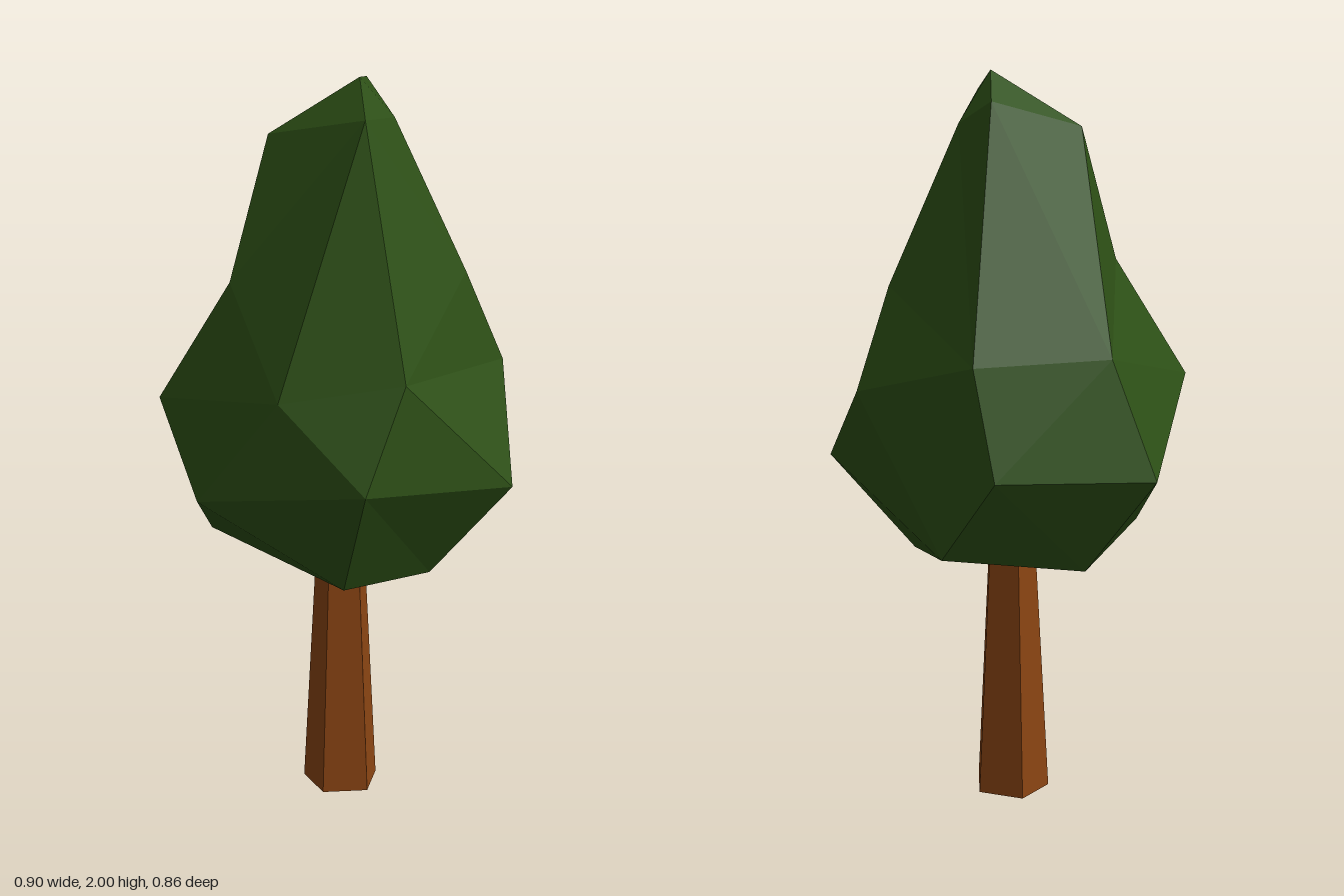
import * as THREE from 'three';

// Crown cross-sections from top to bottom, each running from +x towards +z
const apex = [0.07, 2, 0.015];
const tip = [[0.165, 1.87, -0.01], [0.075, 1.915, 0.105], [-0.165, 1.83, -0.03], [0.1, 1.955, -0.09]];
const shoulder = [[0.35, 1.43, 0.005], [0.155, 1.26, 0.345], [-0.175, 1.2, 0.29],
  [-0.27, 1.43, 0.01], [-0.15, 1.3, -0.35], [0.23, 1.32, -0.35]];
const belly = [[0.45, 1.16, -0.035], [0.45, 0.895, 0.195], [0.04, 0.98, 0.425], [-0.375, 0.89, 0.19],
  [-0.45, 1.1, -0.02], [-0.25, 0.97, -0.42], [0.195, 1.02, -0.43]];
const base = [[0.3, 0.77, -0.3], [0.24, 0.635, 0.13], [0, 0.655, 0.27], [-0.31, 0.715, -0.04], [-0.1, 0.68, -0.27]];

// Joins two rings; each step moves on along the upper (u) or lower (l) ring
function stitch(upper, lower, steps) {
  const faces = [];
  let i = 0, j = 0;
  for (const step of steps) {
    const p = upper[i % upper.length], q = lower[j % lower.length];
    if (step === 'u') faces.push(p, upper[++i % upper.length], q);
    else faces.push(p, lower[++j % lower.length], q);
  }
  return faces;
}

function createCrown() {
  const corners = [
    ...stitch(tip, shoulder, 'ulllululul'),
    ...stitch(shoulder, belly, 'ullulluullulu'),
    ...stitch(belly, base, 'ulululuululu'),
  ];
  // Close the top with a fan around the apex, and the underside with a flat fan
  tip.forEach((p, i) => corners.push(apex, tip[(i + 1) % tip.length], p));
  for (let i = 1; i < base.length - 1; i++) corners.push(base[0], base[i], base[i + 1]);

  const geometry = new THREE.BufferGeometry();
  geometry.setAttribute('position', new THREE.Float32BufferAttribute(corners.flat(), 3));
  geometry.computeVertexNormals();
  const crown = new THREE.Mesh(geometry, new THREE.MeshStandardMaterial({ color: 0x2d5016, flatShading: true }));
  crown.name = 'crown';
  return crown;
}

// Five-sided tapering trunk, its top hidden inside the crown
function createTrunk() {
  const height = 0.75;
  const geometry = new THREE.CylinderGeometry(0.061, 0.098, height, 5, 1, false, Math.PI);
  geometry.scale(1, 1, 1.13);
  geometry.translate(0, height / 2, 0);
  const trunk = new THREE.Mesh(geometry, new THREE.MeshStandardMaterial({ color: 0x8b4513, flatShading: true }));
  trunk.position.set(0.025, 0, -0.012);
  trunk.name = 'trunk';
  return trunk;
}

export function createModel() {
  const tree = new THREE.Group();
  tree.name = 'tree';
  tree.add(createTrunk(), createCrown());
  return tree;
}
